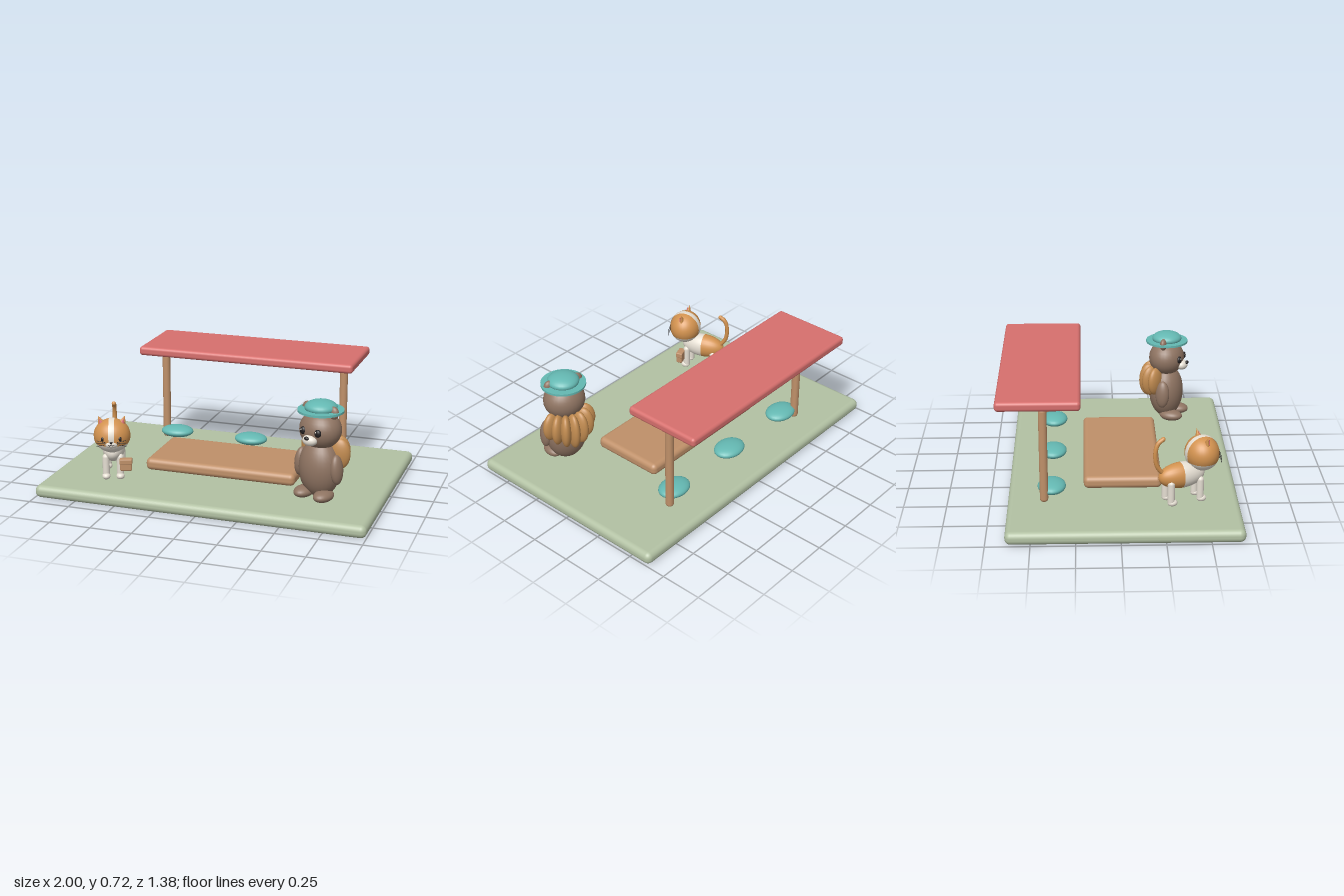
import * as THREE from 'three';
import { RoundedBoxGeometry } from 'three/addons/geometries/RoundedBoxGeometry.js';

const mat = (name, color, side = THREE.FrontSide) => {
  const m = new THREE.MeshStandardMaterial({ color, side });
  m.name = name;
  return m;
};

export function createModel() {
  const sage = mat('sage', 0xb2c1a3), wood = mat('wood', 0xbf9069), red = mat('coral red', 0xd66f6d);
  const teal = mat('teal', 0x64b8b2), fur = mat('brown fur', 0x8f7462), orange = mat('orange fur', 0xd2924f, THREE.DoubleSide);
  const cream = mat('cream', 0xe6dfd3, THREE.DoubleSide), black = mat('black', 0x242122);
  const tan = mat('tan', 0xc18b50);

  const group = (name, parent, x = 0, y = 0, z = 0, yaw = 0) => {
    const g = new THREE.Group();
    g.name = name;
    g.position.set(x, y, z);
    g.rotation.y = yaw;
    parent.add(g);
    return g;
  };
  const add = (parent, name, geo, m, x = 0, y = 0, z = 0) => {
    const mesh = new THREE.Mesh(geo, m);
    mesh.name = name;
    mesh.position.set(x, y, z);
    parent.add(mesh);
    return mesh;
  };
  const ball = (parent, name, m, pos, size) => {
    const mesh = add(parent, name, new THREE.SphereGeometry(1, 28, 18), m, ...pos);
    mesh.scale.set(...size);
    return mesh;
  };
  const slab = (parent, name, m, size, pos, r) =>
    add(parent, name, new RoundedBoxGeometry(...size, 5, r), m, ...pos);
  const tube = (parent, name, m, pts, r) => add(parent, name, new THREE.TubeGeometry(
    new THREE.CatmullRomCurve3(pts.map(p => new THREE.Vector3(...p))), 20, r, 8), m);

  const model = new THREE.Group();
  model.name = 'picnicShelter';

  // Ground, table and shelter
  slab(model, 'ground', sage, [2, 0.076, 1.33], [0, 0.038, 0.024], 0.034);
  slab(model, 'table', wood, [0.935, 0.075, 0.455], [0, 0.122, 0.024], 0.03);
  slab(model, 'roof', red, [1.375, 0.056, 0.477], [0, 0.692, -0.455], 0.02);
  for (const s of [-1, 1])
    slab(model, 'post', wood, [0.048, 0.58, 0.048], [s * 0.587, 0.36, -0.431], 0.022);
  for (const x of [-0.5, 0, 0.5])
    ball(model, 'cushion', teal, [x, 0.13, -0.388], [0.105, 0.036, 0.082]);

  // Cat: body split into orange back half and cream chest
  const cat = group('cat', model, -0.62, 0, 0.37, 0.35);
  const bodyHalf = (name, m, start, length) => {
    const g = new THREE.SphereGeometry(1, 28, 18, 0, Math.PI * 2, start, length);
    g.rotateX(Math.PI / 2);
    add(cat, name, g, m, 0, 0.25, -0.02).scale.set(0.068, 0.076, 0.14);
  };
  bodyHalf('catChest', cream, 0, 1.6);
  bodyHalf('catBack', orange, 1.6, Math.PI - 1.6);
  for (const sx of [-1, 1]) for (const z of [-0.1, 0.08]) {
    add(cat, 'catLeg', new THREE.CapsuleGeometry(0.021, 0.11, 6, 14), cream, sx * 0.042, 0.165, z);
    ball(cat, 'catPaw', cream, [sx * 0.042, 0.105, z + 0.008], [0.025, 0.02, 0.029]);
  }
  tube(cat, 'catTail', orange,
    [[0, 0.27, -0.13], [0, 0.33, -0.172], [0, 0.41, -0.182], [0, 0.465, -0.165], [0, 0.486, -0.135]], 0.013);
  ball(cat, 'catTailTip', orange, [0, 0.486, -0.135], [0.013, 0.013, 0.013]);

  // Cat head: orange cap, cream lower face, cream stripe over the middle
  const catHead = group('catHead', cat, 0, 0.367, 0.105);
  const headSize = [0.108, 0.102, 0.098];
  add(catHead, 'catCap', new THREE.SphereGeometry(1, 32, 18, 0, Math.PI * 2, 0, 2.0), orange).scale.set(...headSize);
  add(catHead, 'catLowerFace', new THREE.SphereGeometry(1, 32, 10, 0, Math.PI * 2, 2.0, Math.PI - 2.0), cream)
    .scale.set(...headSize);
  const stripe = new THREE.SphereGeometry(1, 36, 4, 0, Math.PI * 2, Math.PI / 2 - 0.15, 0.3);
  stripe.rotateZ(Math.PI / 2);
  add(catHead, 'catStripe', stripe, cream).scale.set(0.11, 0.104, 0.1);
  ball(catHead, 'catMuzzle', cream, [0, -0.03, 0.078], [0.038, 0.024, 0.026]);
  ball(catHead, 'catNose', black, [0, -0.014, 0.102], [0.009, 0.006, 0.006]);
  for (const s of [-1, 1]) {
    const ear = group('catEar', catHead, s * 0.064, 0.084, 0);
    ear.rotation.z = -s * 0.38;
    add(ear, 'earBack', new THREE.ConeGeometry(0.036, 0.075, 20), orange).scale.z = 0.55;
    add(ear, 'earInner', new THREE.ConeGeometry(0.026, 0.055, 20), red, 0, -0.004, 0.011).scale.z = 0.5;
    ball(catHead, 'catEye', black, [s * 0.05, 0.002, 0.083], [0.011, 0.014, 0.008]);
    tube(catHead, 'catMouth', black,
      [[0, -0.022, 0.104], [s * 0.008, -0.032, 0.104], [s * 0.018, -0.028, 0.101]], 0.002);
    for (const dy of [-0.012, 0, 0.012])
      tube(catHead, 'whisker', black,
        [[s * 0.034, -0.022 + dy * 0.5, 0.092], [s * 0.06, -0.021 + dy, 0.092], [s * 0.086, -0.024 + dy * 1.5, 0.084]], 0.0016);
  }

  // Satchel beside the cat
  const bag = group('satchel', model, -0.51, 0.183, 0.445, 0.35);
  slab(bag, 'bagBody', wood, [0.07, 0.072, 0.038], [0, 0, 0], 0.008);
  slab(bag, 'bagFlap', wood, [0.074, 0.035, 0.043], [0, 0.02, 0], 0.006);

  // Bear
  const bear = group('bear', model, 0.645, 0, 0.34, -0.35);
  ball(bear, 'bearBody', fur, [0, 0.265, 0], [0.127, 0.175, 0.108]);
  ball(bear, 'bearHead', fur, [0, 0.495, 0], [0.126, 0.112, 0.112]);
  ball(bear, 'bearMuzzle', cream, [0, 0.455, 0.104], [0.046, 0.032, 0.036]);
  ball(bear, 'bearNose', black, [0, 0.474, 0.137], [0.015, 0.011, 0.01]);
  for (const s of [-1, 1]) {
    ball(bear, 'bearEar', fur, [s * 0.088, 0.608, 0.004], [0.034, 0.038, 0.022]);
    ball(bear, 'bearEye', black, [s * 0.05, 0.503, 0.099], [0.021, 0.023, 0.015]);
    ball(bear, 'eyeGlint', cream, [s * 0.05 - 0.006, 0.511, 0.112], [0.005, 0.005, 0.003]);
    ball(bear, 'bearArm', fur, [s * 0.124, 0.28, 0.012], [0.034, 0.088, 0.045]).rotation.z = s * 0.08;
    ball(bear, 'bearFoot', fur, [s * 0.068, 0.122, 0.055], [0.053, 0.034, 0.075]);
  }

  // Fan of plump lobes on the bear's back
  const lobes = group('backLobes', bear);
  for (let i = -3; i <= 3; i++) {
    const a = i * 0.4;
    const lobe = ball(lobes, 'lobe', tan,
      [-Math.sin(a) * 0.115, 0.335 + 0.008 * Math.abs(i), -Math.cos(a) * 0.115],
      [0.034, 0.115 - 0.008 * Math.abs(i), 0.062]);
    lobe.rotation.y = a;
  }

  // Hat
  const hat = group('hat', bear, 0, 0.608, 0);
  add(hat, 'hatBrim', new THREE.CylinderGeometry(0.133, 0.133, 0.013, 40), teal);
  ball(hat, 'hatCrown', teal, [0, 0.018, 0], [0.094, 0.042, 0.094]);

  return model;
}
